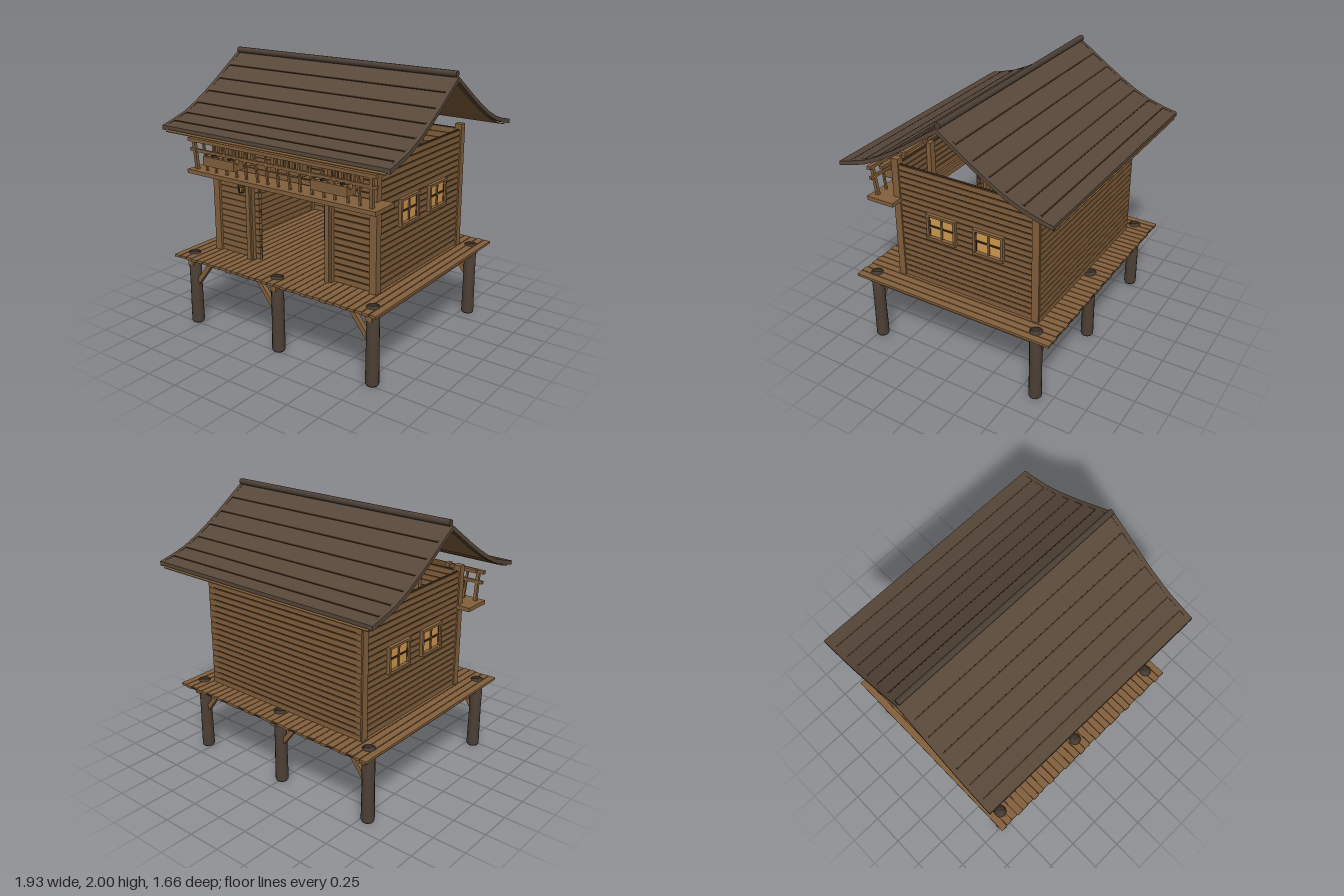
import * as THREE from 'three';

const mat = (name, color) => {
  const m = new THREE.MeshStandardMaterial({ color });
  m.name = name;
  return m;
};

export function createModel() {
  const wood = mat('wood', 0x83603c);
  const roofMat = mat('roof shingle', 0x58483a);
  const logMat = mat('dark log', 0x4c4036);
  const gapMat = mat('dark gap', 0x3d2b1b);
  const glass = mat('amber glass', 0xd39c4f);
  const iron = mat('iron', 0x2f2a26);
  const root = new THREE.Group();
  root.name = 'stiltHouse';

  const group = (name) => {
    const g = new THREE.Group();
    g.name = name;
    root.add(g);
    return g;
  };
  const add = (g, name, geo, m) => {
    const mesh = new THREE.Mesh(geo, m);
    mesh.name = name;
    g.add(mesh);
    return mesh;
  };
  // Box given by its minimum and maximum on each axis
  const box = (g, name, m, x0, x1, y0, y1, z0, z1) => {
    const mesh = add(g, name, new THREE.BoxGeometry(x1 - x0, y1 - y0, z1 - z0), m);
    mesh.position.set((x0 + x1) / 2, (y0 + y1) / 2, (z0 + z1) / 2);
    return mesh;
  };
  // Square bar between two points
  const bar = (g, name, m, a, b, w, d = w) => {
    const p = new THREE.Vector3(...a), q = new THREE.Vector3(...b);
    const mesh = add(g, name, new THREE.BoxGeometry(w, p.distanceTo(q), d), m);
    mesh.position.copy(p).add(q).multiplyScalar(0.5);
    mesh.quaternion.setFromUnitVectors(new THREE.Vector3(0, 1, 0), q.sub(p).normalize());
    return mesh;
  };

  // Stilts, floor beams and diagonal braces
  const base = group('stilts');
  for (const x of [-0.8, 0, 0.8]) {
    const s = x < 0 ? 1 : -1;
    for (const z of [0.725, -0.625]) {
      const prof = [[0, 0], [0.042, 0], [0.048, 0.012], [0.045, 0.3], [0.046, 0.567], [0, 0.567]];
      const post = add(base, 'stilt', new THREE.LatheGeometry(prof.map(p => new THREE.Vector2(...p)), 14), logMat);
      post.position.set(x, 0, z);
      bar(base, 'brace', wood, [x + s * 0.03, 0.33, z], [x + s * 0.175, 0.515, z], 0.034);
    }
    box(base, 'floorBeam', wood, x - 0.025, x + 0.025, 0.475, 0.525, -0.7, 0.775);
  }

  // Deck planks over a dark underlay
  const deck = group('deck');
  const N = 32, pitch = 1.79 / N;
  box(deck, 'deckUnderlay', gapMat, -0.885, 0.885, 0.549, 0.555, -0.77, 0.83);
  for (let i = 0; i < N; i++) {
    const x = -0.895 + i * pitch, e = (i % 3) * 0.004;
    box(deck, 'deckPlank', wood, x + 0.003, x + pitch - 0.003, 0.545, 0.564, -0.775 + e, 0.84 - e);
  }

  // Horizontal siding around a dark core
  const siding = (g, x0, x1, y0, y1, z0, z1) => {
    const n = Math.max(1, Math.round((y1 - y0) / 0.0453)), h = (y1 - y0) / n;
    const alongX = x1 - x0 > z1 - z0, c = 0.007;
    box(g, 'sidingCore', gapMat, x0 + (alongX ? 0 : c), x1 - (alongX ? 0 : c), y0, y1,
      z0 + (alongX ? c : 0), z1 - (alongX ? c : 0));
    for (let i = 0; i < n; i++)
      box(g, 'sidingPlank', wood, x0, x1, y0 + i * h + 0.004, y0 + (i + 1) * h - 0.004, z0, z1);
  };
  const walls = group('walls');
  siding(walls, -0.71, 0.71, 0.565, 1.47, -0.6, -0.572);
  siding(walls, -0.68, 0.68, 1.17, 1.47, 0.525, 0.555);
  for (const s of [-1, 1]) {
    const span = (a, b) => (s > 0 ? [a, b] : [-b, -a]);
    siding(walls, ...span(0.68, 0.71), 0.565, 1.47, -0.56, 0.53);
    siding(walls, ...span(0.3, 0.68), 0.565, 1.17, 0.525, 0.555);
    box(walls, 'frontCornerPost', wood, ...span(0.665, 0.72), 0.565, 1.51, 0.52, 0.575);
    box(walls, 'backCornerPost', wood, ...span(0.665, 0.72), 0.565, 1.51, -0.595, -0.54);
    box(walls, 'innerBackPost', wood, ...span(0.33, 0.385), 0.565, 1.5, -0.572, -0.53);
    box(walls, 'innerFrontPost', wood, ...span(0.33, 0.385), 1.17, 1.5, 0.49, 0.525);
  }

  // Door frame and dark panel on the far inner wall
  const door = group('doorway');
  for (const x of [-0.37, 0.335]) {
    box(door, 'doorPost', wood, x - 0.03, x + 0.03, 0.565, 1.15, 0.5, 0.585);
    box(door, 'doorPostFace', wood, x - 0.017, x + 0.017, 0.565, 1.15, 0.585, 0.6);
  }
  box(door, 'lintel', wood, -0.415, 0.365, 1.14, 1.18, 0.5, 0.605);
  box(door, 'innerPanel', roofMat, -0.305, 0.29, 0.575, 1.16, -0.572, -0.563);

  // Four-pane windows on both sides
  const wins = group('sideWindows');
  for (const s of [-1, 1]) for (const z of [0.175, -0.207]) {
    const part = (name, m, d, y0, y1, a, b) =>
      box(wins, name, m, s > 0 ? 0.7 : -0.7 - d, s > 0 ? 0.7 + d : -0.7, y0, y1, z + a, z + b);
    part('windowPane', glass, 0.016, 0.985, 1.14, -0.1, 0.1);
    part('windowSill', wood, 0.04, 0.963, 0.983, -0.12, 0.12);
    part('windowHead', wood, 0.036, 1.142, 1.16, -0.12, 0.12);
    part('windowMullion', wood, 0.025, 0.98, 1.145, -0.007, 0.007);
    part('windowTransom', gapMat, 0.023, 1.058, 1.07, -0.1, 0.1);
    for (const k of [-0.11, 0.11]) {
      part('windowJamb', wood, 0.034, 0.975, 1.15, k - 0.01, k + 0.01);
      part('windowShadowLine', gapMat, 0.02, 0.983, 1.142, k * 0.91 - 0.004, k * 0.91 + 0.004);
    }
  }

  // Balcony ledge, rails and balusters
  const bal = group('balcony');
  box(bal, 'ledge', wood, -0.815, 0.815, 1.182, 1.212, 0.515, 0.737);
  box(bal, 'topRail', wood, -0.81, 0.805, 1.42, 1.445, 0.695, 0.725);
  box(bal, 'middleRail', wood, -0.805, 0.805, 1.345, 1.367, 0.69, 0.71);
  box(bal, 'eaveBeam', wood, -0.815, 0.815, 1.462, 1.485, 0.575, 0.605);
  for (let i = 0; i < 17; i++) {
    const x = -0.76 + i * 0.095, end = i === 0 || i === 16, t = Math.sin(i * 2.3) * 0.006;
    bar(bal, 'baluster', wood, [x + t, 1.2, 0.685], [x - t, 1.43, 0.71], end ? 0.024 : 0.015);
  }

  // Lattice windows behind the balcony
  const lattice = group('upperWindows');
  for (const cx of [-0.46, 0, 0.46]) {
    box(lattice, 'latticeBack', gapMat, cx - 0.12, cx + 0.12, 1.3, 1.45, 0.553, 0.56);
    for (const k of [-0.125, 0.125]) {
      box(lattice, 'latticeJamb', wood, cx + k - 0.014, cx + k + 0.014, 1.285, 1.5, 0.555, 0.603);
      box(lattice, 'latticeRail', wood, cx - 0.135, cx + 0.135, 1.375 + k * 0.65 - 0.012, 1.375 + k * 0.65 + 0.012, 0.555, 0.6);
    }
    for (const k of [-0.075, -0.025, 0.025, 0.075])
      box(lattice, 'latticeBar', wood, cx + k - 0.011, cx + k + 0.011, 1.3, 1.45, 0.556, 0.585);
    box(lattice, 'latticeCross', wood, cx - 0.125, cx + 0.125, 1.37, 1.385, 0.556, 0.59);
  }

  // Planter boxes with dark leaves
  const plants = group('planters');
  for (const cx of [-0.49, 0.465]) {
    box(plants, 'planterBox', wood, cx - 0.145, cx + 0.145, 1.272, 1.34, 0.655, 0.755);
    for (let i = 0; i < 12; i++) {
      const leaf = add(plants, 'leaf', new THREE.ConeGeometry(0.022, 0.05, 5), i % 3 ? wood : iron);
      leaf.position.set(cx - 0.143 + i * 0.026, 1.345, 0.705 + (i % 2 ? 0.032 : -0.032));
      leaf.rotation.x = i % 2 ? 1.1 : -1.1;
    }
  }

  // Hanging lantern
  const lantern = group('lantern');
  lantern.position.set(-0.4, 0, 0.625);
  const ring = (name, r0, r1, y0, y1, m) => {
    add(lantern, name, new THREE.CylinderGeometry(r1, r0, y1 - y0, 6), m).position.y = (y0 + y1) / 2;
  };
  ring('lanternHook', 0.004, 0.004, 1.15, 1.19, iron);
  ring('lanternCap', 0.03, 0.008, 1.128, 1.158, iron);
  ring('lanternGlass', 0.016, 0.021, 1.088, 1.128, glass);
  ring('lanternBase', 0.02, 0.02, 1.078, 1.088, iron);
  for (let i = 0; i < 6; i++) {
    const c = Math.cos(i * Math.PI / 3 + Math.PI / 6), s = Math.sin(i * Math.PI / 3 + Math.PI / 6);
    bar(lantern, 'lanternRib', iron, [c * 0.018, 1.08, s * 0.018], [c * 0.022, 1.13, s * 0.022], 0.005);
  }

  // Sweeping roof: each slope extruded along x from its curved profile
  const roof = group('roof');
  const slope = [[0, 1.955], [0.12, 1.873], [0.24, 1.79], [0.36, 1.713], [0.48, 1.643], [0.6, 1.587], [0.72, 1.55], [0.825, 1.525]];
  const slab = (name, m, top, bottom, s, x0, x1) => {
    const pts = [...top, ...bottom.slice().reverse()].map(([z, y]) => new THREE.Vector2(z * s, y));
    const geo = new THREE.ExtrudeGeometry(new THREE.Shape(pts), { depth: x1 - x0, bevelEnabled: false });
    geo.rotateY(-Math.PI / 2);
    add(roof, name, geo, m).position.x = x1;
  };
  const lift = (pts, d) => pts.map(([z, y]) => [z, y + d]);
  for (const s of [-1, 1]) {
    const line = slope.map(([z, y], i) => [i === 7 && s > 0 ? 0.815 : z, y]);
    slab('roofSlope', roofMat, line, lift(line, -0.02), s, -0.955, 0.955);
    const under = lift(line, -0.021);
    under[6] = [0.72, 1.517];
    under[7] = [line[7][0], 1.492];
    slab('roofUnderside', wood, under, lift(under, -0.006), s, -0.93, 0.93);
    for (const x of [-0.965, 0.935])
      slab('bargeBoard', roofMat, lift(line, 0.006), lift(line, -0.026), s, x, x + 0.03);
    // Shingle courses with dark seams
    for (let i = 0; i < 7; i++) {
      const [a, b] = [line[i], line[i + 1]];
      slab('shingleCourse', roofMat, [[a[0], a[1] + 0.001], [b[0], b[1] + 0.007]], lift([a, b], -0.005), s, -0.935, 0.935);
      if (i < 6) {
        const seam = box(roof, 'shingleSeam', gapMat, -0.935, 0.935, b[1] - 0.004, b[1] + 0.007, s * b[0] - 0.005, s * b[0] + 0.005);
        seam.rotation.x = s * Math.atan2(a[1] - b[1], b[0] - a[0]);
      }
    }
  }
  // Ridge log
  const ridge = add(roof, 'ridgeLog', new THREE.CylinderGeometry(0.023, 0.023, 1.9, 10), logMat);
  ridge.rotation.z = Math.PI / 2;
  ridge.position.set(0, 1.976, -0.005);
  return root;
}
